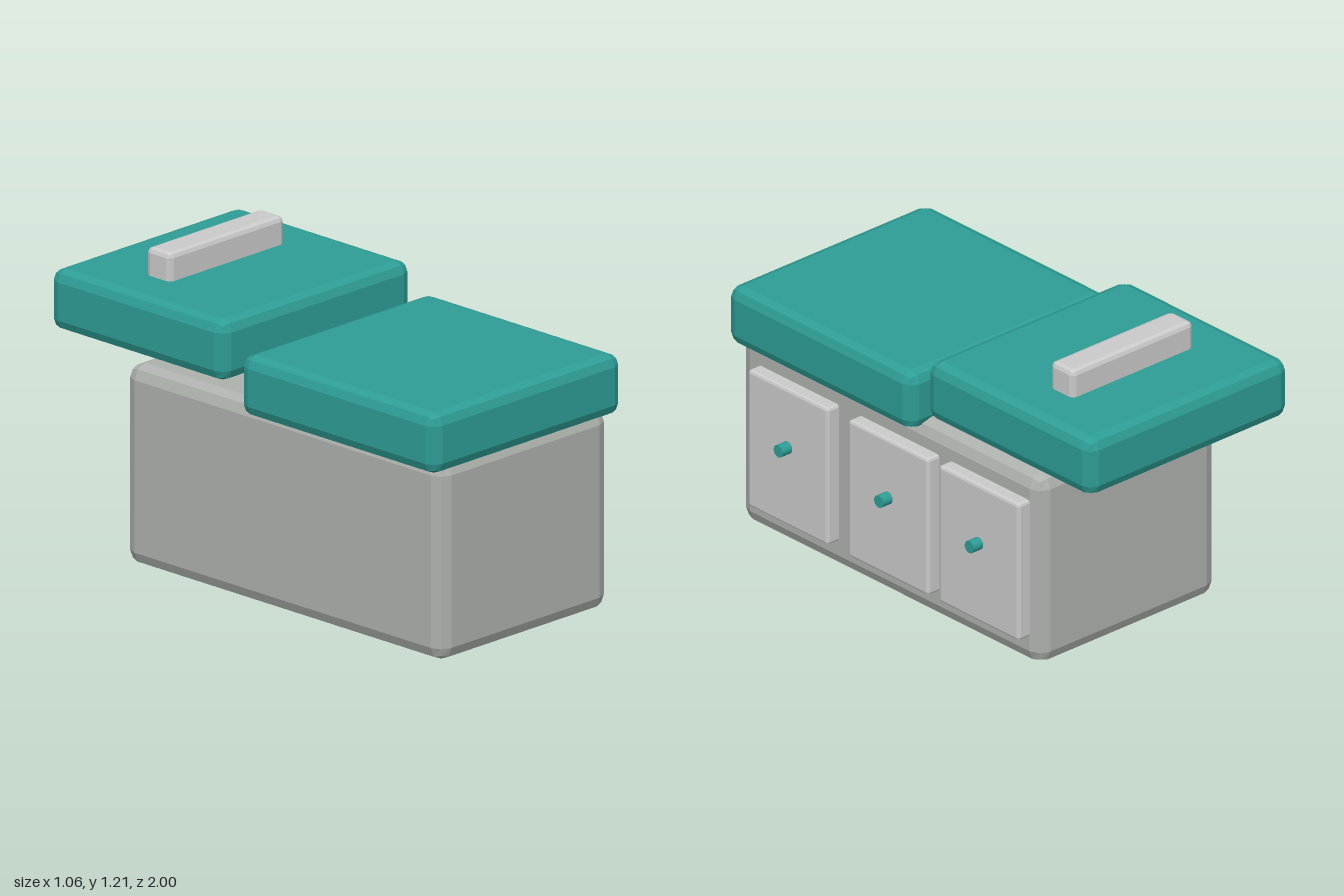
import * as THREE from 'three';
import { RoundedBoxGeometry } from 'three/addons/geometries/RoundedBoxGeometry.js';

const material = (color) => new THREE.MeshStandardMaterial({ color, flatShading: true });

// Bevelled box given by its [min, max] extent on each axis
function block(name, [x0, x1], [y0, y1], [z0, z1], bevel, mat) {
  const mesh = new THREE.Mesh(new RoundedBoxGeometry(x1 - x0, y1 - y0, z1 - z0, 1, bevel), mat);
  mesh.position.set((x0 + x1) / 2, (y0 + y1) / 2, (z0 + z1) / 2);
  mesh.name = name;
  return mesh;
}

export function createModel() {
  const model = new THREE.Group();
  model.name = 'examinationTable';
  const teal = material(0x2e9e96);
  const bodyGrey = material(0xaeb2ad);
  const lightGrey = material(0xcccccc);

  // Cabinet base
  model.add(block('cabinet', [-0.475, 0.425], [0, 0.79], [-0.663, 0.985], 0.055, bodyGrey));

  // Low seat cushion and raised, overhanging back cushion
  model.add(block('seatCushion', [-0.53, 0.48], [0.755, 0.995], [-0.013, 1], 0.045, teal));
  model.add(block('backCushion', [-0.53, 0.48], [0.855, 1.095], [-1, -0.095], 0.045, teal));

  // Headrest bar on the back cushion
  model.add(block('headrestBar', [-0.33, 0.282], [1.05, 1.205], [-0.69, -0.565], 0.02, lightGrey));

  // Three doors with round knobs on the left side
  const knobGeometry = new THREE.CylinderGeometry(0.025, 0.025, 0.06, 16).rotateZ(-Math.PI / 2);
  const knobMaterial = new THREE.MeshStandardMaterial({ color: 0x2e9e96 });
  for (const z of [0.66, 0.108, -0.39]) {
    const door = new THREE.Group();
    door.name = 'door';
    door.add(block('doorPanel', [0.38, 0.482], [0.115, 0.688], [z - 0.22, z + 0.22], 0.012, lightGrey));
    const knob = new THREE.Mesh(knobGeometry, knobMaterial);
    knob.name = 'knob';
    knob.position.set(0.5, 0.445, z);
    door.add(knob);
    model.add(door);
  }
  return model;
}
